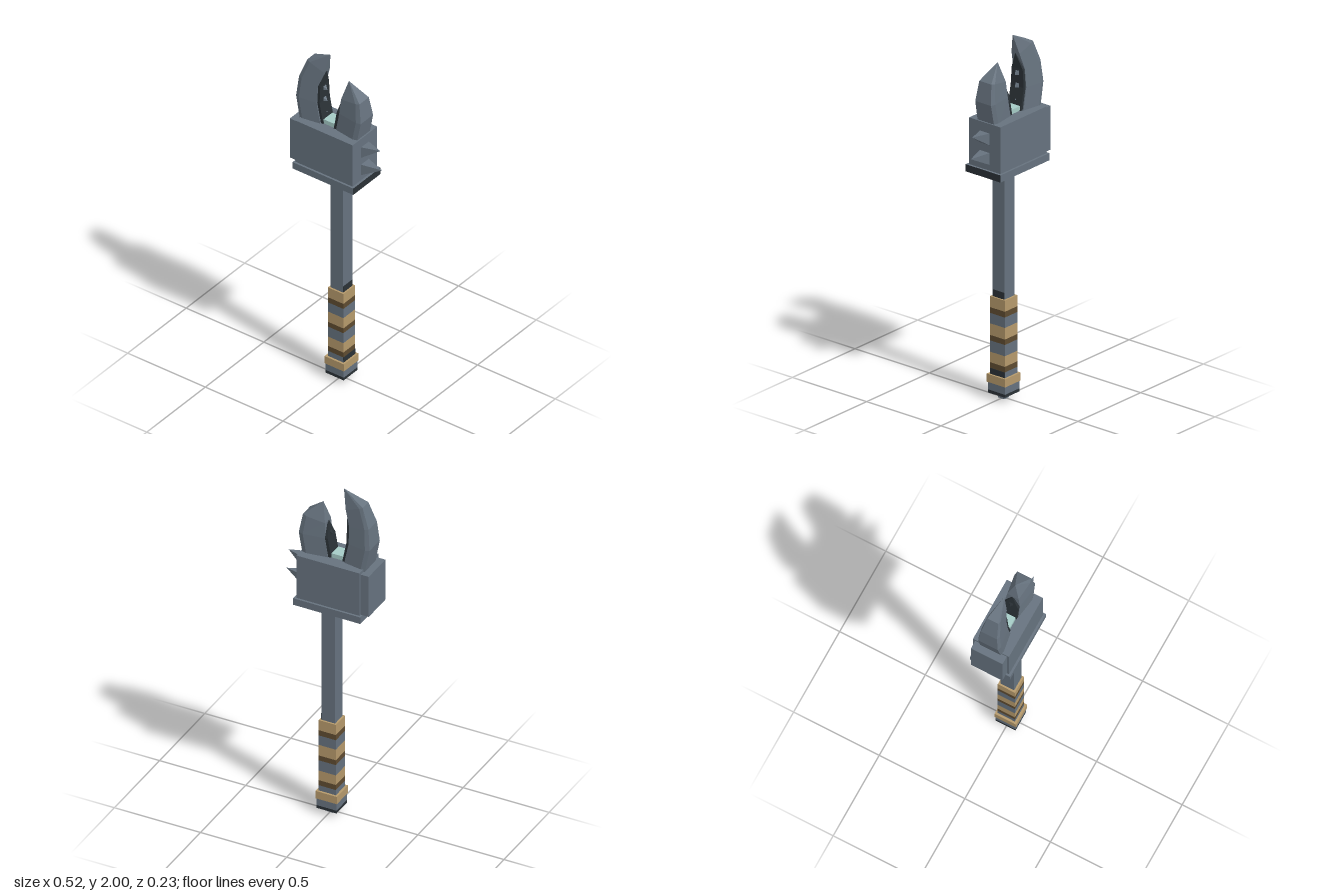
import * as THREE from 'three';

const mat = (name, color) => {
  const m = new THREE.MeshStandardMaterial({ color });
  m.name = name;
  return m;
};

export function createModel() {
  const steel = mat('steel', 0x66727e);
  const dark = mat('darkSteel', 0x2a3136);
  const tan = mat('tanWrap', 0xb5996b);
  const brown = mat('brownWrap', 0x5e4b30);
  const teal = mat('paleTeal', 0xa5cbc6);
  const group = new THREE.Group();

  const add = (name, geo, material) => {
    const m = new THREE.Mesh(geo, material);
    m.name = name;
    group.add(m);
    return m;
  };
  // Box given by its extents
  const box = (name, x0, x1, y0, y1, hz, material) =>
    add(name, new THREE.BoxGeometry(x1 - x0, y1 - y0, hz * 2), material)
      .position.set((x0 + x1) / 2, (y0 + y1) / 2, 0);
  const flat = (geo) => {
    const g = geo.index ? geo.toNonIndexed() : geo;
    g.computeVertexNormals();
    return g;
  };

  // Faceted skin over sections [outerX, outerY, innerX, innerY, halfDepth], closing on a tip
  const loft = (sections, innerRatio, tip) => {
    const loops = sections.map(([ox, oy, ix, iy, z]) => {
      const mx = ox + (ix - ox) * 0.18, my = oy + (iy - oy) * 0.18;
      const half = [[ox, oy, z * 0.88], [mx, my, z], [ix, iy, z * innerRatio]];
      const loop = [...half, ...half.map(([x, y, d]) => [x, y, -d]).reverse()];
      return ox > ix ? loop.reverse() : loop;
    });
    const pos = [];
    loops.forEach((a, k) => {
      const b = loops[k + 1];
      for (let i = 0; i < a.length; i++) {
        const j = (i + 1) % a.length;
        if (b) pos.push(...a[i], ...a[j], ...b[j], ...a[i], ...b[j], ...b[i]);
        else pos.push(...a[i], ...a[j], ...tip);
      }
    });
    const g = new THREE.BufferGeometry();
    g.setAttribute('position', new THREE.Float32BufferAttribute(pos, 3));
    return flat(g);
  };

  // Square spike along +x (or -x), its tip raised by lift
  const spike = (name, x, y, length, half, lift, dir, material) => {
    const g = new THREE.ConeGeometry(half * Math.SQRT2, length, 4);
    g.rotateY(Math.PI / 4);
    g.rotateZ(-dir * Math.PI / 2);
    g.translate(dir * length / 2, 0, 0);
    const p = g.attributes.position;
    for (let i = 0; i < p.count; i++) p.setY(i, p.getY(i) + lift * Math.abs(p.getX(i)) / length);
    add(name, flat(g), material).position.set(x, y, 0);
  };

  // Pommel
  box('pommelKnob', -0.02, 0.02, 0, 0.04, 0.02, steel);
  box('pommelFoot', -0.058, 0.058, 0.03, 0.047, 0.058, dark);
  box('pommel', -0.058, 0.058, 0.047, 0.09, 0.058, steel);
  box('pommelCollar', -0.062, 0.062, 0.09, 0.135, 0.062, tan);

  // Grip wrapped in repeating bands, listed by top edge
  const bands = [[0.167, steel], [0.198, brown], [0.257, tan], [0.32, steel], [0.35, brown],
    [0.415, tan], [0.473, steel], [0.505, brown], [0.567, tan]];
  let y = 0.135;
  bands.forEach(([top, m], i) => {
    box('gripBand' + (i + 1), -0.05, 0.05, y, top, 0.05, m);
    y = top;
  });
  box('gripStain', 0.049, 0.0515, 0.135, 0.167, 0.05, dark);

  // Shaft
  box('shaft', -0.04, 0.04, 0.56, 1.3, 0.04, steel);
  box('shaftStain', 0.039, 0.0415, 0.567, 0.605, 0.038, dark);

  // Head block with base plate (dark right edge and underside) and side plate
  box('headBase', -0.227, 0.164, 1.28, 1.32, 0.117, [dark, steel, steel, dark, steel, steel]);
  box('headBlock', -0.216, 0.151, 1.32, 1.58, 0.105, steel);
  box('sidePlate', -0.263, -0.21, 1.32, 1.566, 0.092, steel);
  box('gem', -0.087, -0.018, 1.57, 1.605, 0.037, teal);

  // Side spikes
  spike('upperSpike', 0.151, 1.494, 0.099, 0.033, 0.033, 1, steel);
  spike('lowerSpike', 0.151, 1.385, 0.111, 0.033, 0.025, 1, steel);

  // Tall jaw
  add('tallJaw', loft([
    [-0.222, 1.56, -0.095, 1.56, 0.068],
    [-0.249, 1.70, -0.123, 1.70, 0.065],
    [-0.238, 1.82, -0.122, 1.80, 0.053],
    [-0.196, 1.934, -0.095, 1.89, 0.036],
  ], 0.75, [-0.071, 1.998, 0]), steel);
  add('tallJawLining', loft([
    [-0.12, 1.56, -0.08, 1.56, 0.044],
    [-0.15, 1.70, -0.108, 1.70, 0.044],
    [-0.15, 1.80, -0.108, 1.80, 0.037],
  ], 1, [-0.092, 1.89, 0]), dark);

  // Short jaw
  add('shortJaw', loft([
    [0.139, 1.56, -0.005, 1.56, 0.063],
    [0.164, 1.69, 0.018, 1.69, 0.06],
    [0.146, 1.80, 0.022, 1.775, 0.046],
  ], 0.72, [0.048, 1.884, 0]), steel);
  add('shortJawLining', loft([
    [0.03, 1.56, -0.022, 1.56, 0.042],
    [0.04, 1.69, 0.001, 1.69, 0.041],
  ], 1, [0.016, 1.78, 0]), dark);

  // Teeth inside the jaws
  [1.64, 1.71, 1.78].forEach((ty) => spike('tallJawTooth', -0.115, ty, 0.025, 0.016, -0.012, 1, steel));
  [1.65, 1.71].forEach((ty) => spike('shortJawTooth', 0.01, ty, 0.02, 0.014, -0.01, -1, dark));

  return group;
}
